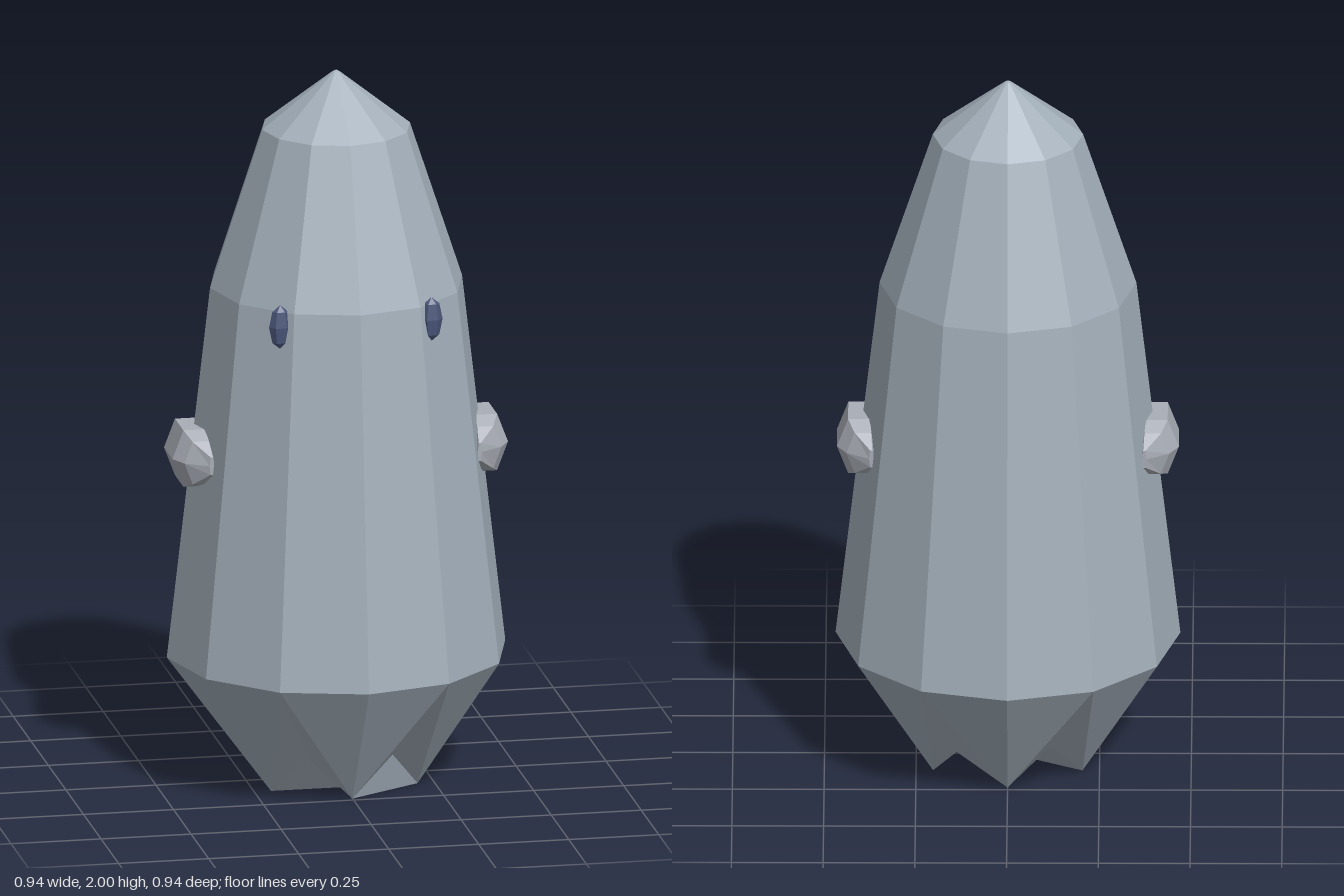
import * as THREE from 'three';

const SIDES = 12;

// flat-faced geometry from a list of triangles
function fromTriangles(tris) {
  const g = new THREE.BufferGeometry();
  g.setAttribute('position', new THREE.Float32BufferAttribute(tris.flat(2), 3));
  g.computeVertexNormals();
  return g;
}

// point on the twelve-sided ring, counted from the front towards +x
function ringPoint(i, r, y) {
  const a = (i * Math.PI * 2) / SIDES;
  return [r * Math.sin(a), y, r * Math.cos(a)];
}

// flared hem narrowing to six pointed tips, closed by a fan below
function hemGeometry() {
  const tris = [];
  const top = (i) => ringPoint(i, 0.47, 0.36);
  const low = (i) => ringPoint(i, 0.235, ((i + SIDES) % 2) === 0 ? 0 : 0.11);
  for (let i = 0; i < SIDES; i += 2) {
    for (const s of [1, -1]) {
      const upper = [top(i), low(i), top(i + s)];
      const lower = [top(i + s), low(i), low(i + s)];
      for (const t of [upper, lower]) tris.push(s > 0 ? t : t.reverse());
    }
  }
  const hub = 2;
  for (let k = 1; k < SIDES - 1; k++) {
    tris.push([low(hub), low(hub + k + 1), low(hub + k)]);
  }
  return fromTriangles(tris);
}

// stubby arm: six-sided sections lofted along z
function armGeometry() {
  const sections = [ // z, centre x, centre y, half width, half height
    [-0.14, 0.372, 0.935, 0.006, 0.025],
    [-0.1, 0.395, 0.935, 0.045, 0.06],
    [-0.06, 0.405, 0.938, 0.061, 0.08],
    [0.06, 0.405, 0.938, 0.061, 0.08],
    [0.1, 0.395, 0.935, 0.045, 0.06],
    [0.14, 0.372, 0.935, 0.006, 0.025],
  ];
  const n = 6;
  const rings = sections.map(([z, x, y, w, h]) =>
    Array.from({ length: n }, (_, i) => {
      const a = (i * Math.PI * 2) / n;
      return [x + w * Math.cos(a), y + (h * Math.sin(a)) / 0.866, z];
    }));
  const tris = [];
  for (let s = 0; s < rings.length - 1; s++) {
    for (let i = 0; i < n; i++) {
      const j = (i + 1) % n;
      const [a, b, c, d] = [rings[s][i], rings[s][j], rings[s + 1][j], rings[s + 1][i]];
      tris.push([a, b, c], [a, c, d]);
    }
  }
  const last = rings[rings.length - 1];
  for (let i = 1; i < n - 1; i++) {
    tris.push([rings[0][0], rings[0][i + 1], rings[0][i]]);
    tris.push([last[0], last[i], last[i + 1]]);
  }
  return fromTriangles(tris);
}

export function createModel() {
  const model = new THREE.Group();
  const material = (name, color) =>
    new THREE.MeshStandardMaterial({ name, color, flatShading: true });
  const bodyGrey = material('body blue grey', 0xa3afba);
  const armGrey = material('arm grey', 0xa9adb6);
  const eyeBlue = material('eye dark blue', 0x4a5678);

  const add = (name, geometry, mat) => {
    const mesh = new THREE.Mesh(geometry, mat);
    mesh.name = name;
    model.add(mesh);
    return mesh;
  };

  // tapering body with pointed crown
  const profile = [[0.47, 0.36], [0.35, 1.4], [0.205, 1.84], [0.01, 1.995], [0, 2]]
    .map(([r, y]) => new THREE.Vector2(r, y));
  add('body', new THREE.LatheGeometry(profile, SIDES), bodyGrey);
  add('hem', hemGeometry(), bodyGrey);

  // arms and eyes on both sides
  const arm = armGeometry();
  for (const [side, s] of [['left', 1], ['right', -1]]) {
    add(side + 'Arm', arm, armGrey).rotation.y = s > 0 ? 0 : Math.PI;
    const eye = add(side + 'Eye', new THREE.SphereGeometry(1, 6, 4), eyeBlue);
    eye.scale.set(0.031, 0.062, 0.02);
    eye.position.set(s * 0.21, 1.36, 0.282);
  }
  return model;
}
